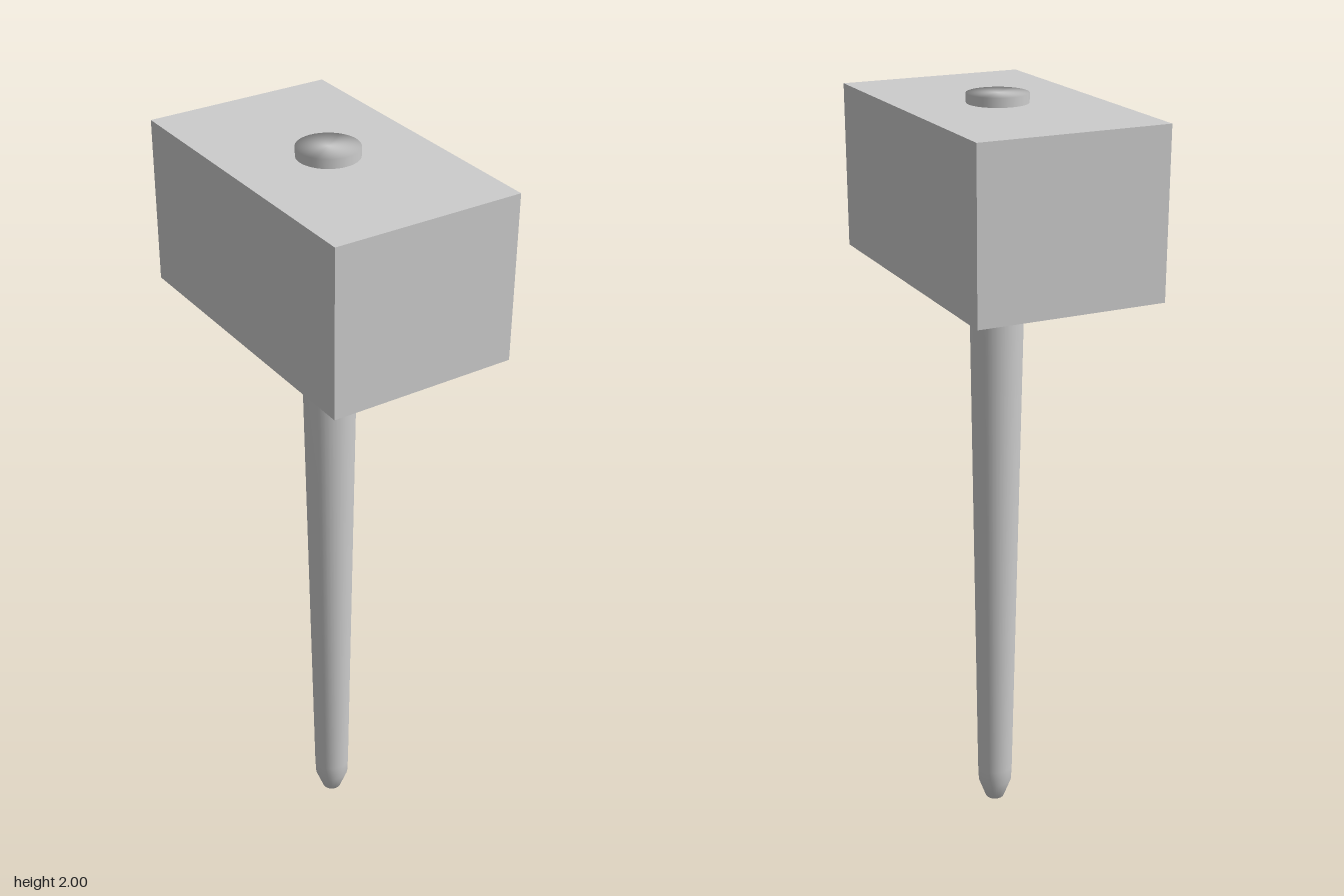
import * as THREE from 'three';
import { mergeVertices } from 'three/addons/utils/BufferGeometryUtils.js';

export function createModel() {
  const group = new THREE.Group();
  const material = new THREE.MeshStandardMaterial({ color: 0xcccccc });

  // Block-shaped mallet head
  const head = new THREE.Mesh(new THREE.BoxGeometry(0.486, 0.42, 0.806), material);
  head.name = 'head';
  head.position.y = 1.767;
  group.add(head);

  // Tapered round handle with a chamfered foot, poking out above the head
  const profile = [[0, 0], [0.026, 0], [0.046, 0.055], [0.048, 0.1], [0.077, 2], [0, 2]]
    .map(([r, y]) => new THREE.Vector2(r, y));
  let shaft = new THREE.LatheGeometry(profile, 40);

  // Lean the handle slightly so its foot sits forward of the head's centre
  const pos = shaft.attributes.position;
  for (let i = 0; i < pos.count; i++) {
    pos.setZ(i, pos.getZ(i) + THREE.MathUtils.lerp(0.022, 0.002, pos.getY(i) / 2));
  }

  // Weld the seam and shade the whole handle smoothly, ends included
  shaft.deleteAttribute('normal');
  shaft.deleteAttribute('uv');
  shaft = mergeVertices(shaft, 1e-5);
  shaft.computeVertexNormals();

  const handle = new THREE.Mesh(shaft, material);
  handle.name = 'handle';
  group.add(handle);

  return group;
}
